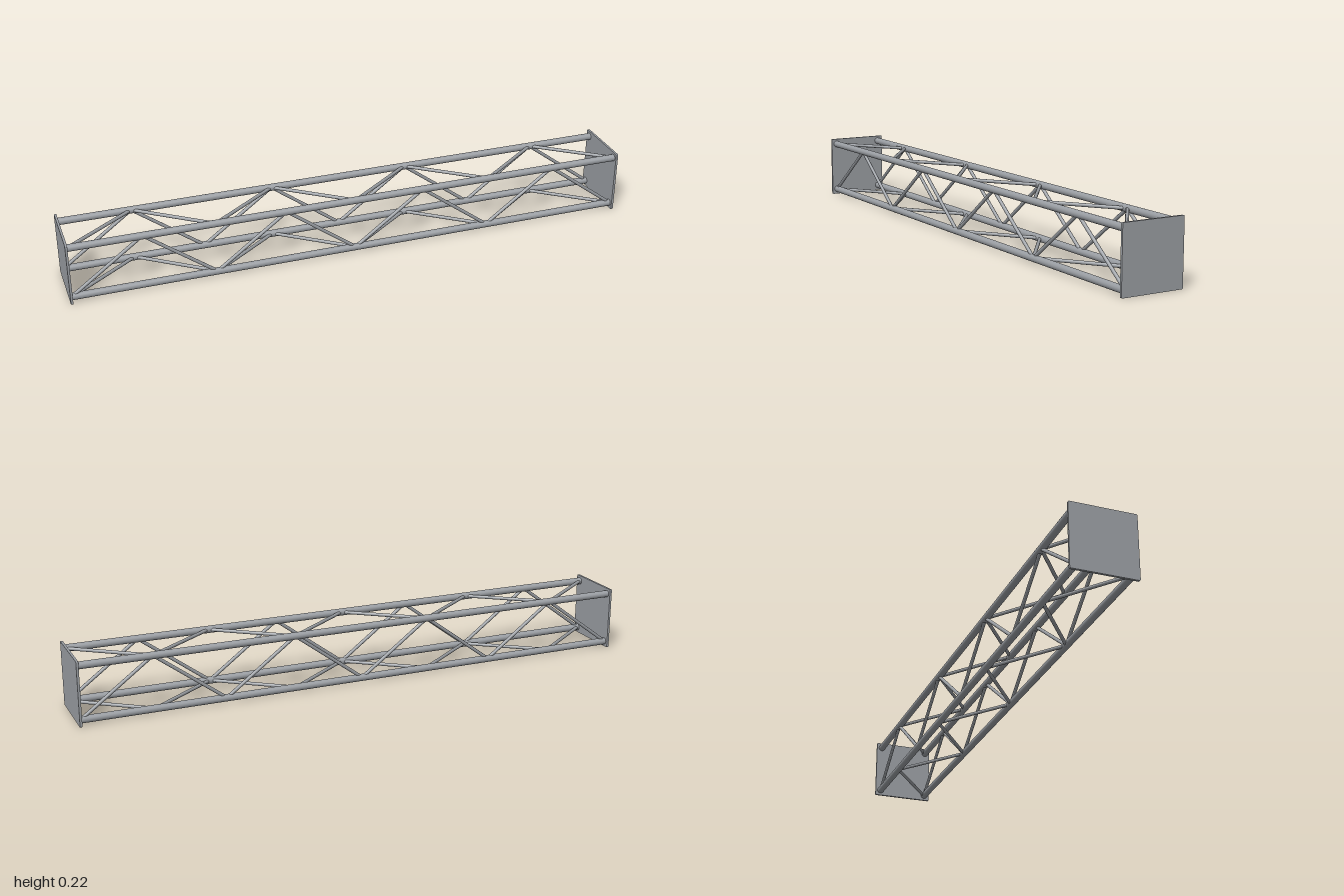
import * as THREE from 'three';

const HALF = 1, SIDE = 0.225, MID = SIDE / 2;
const PLATE = 0.008, CHORD_R = 0.0125, BRACE_R = 0.006, OFF = 0.0925;

// Round bar between two points
function bar(name, a, b, radius, sides, material) {
  const dir = new THREE.Vector3().subVectors(b, a);
  const mesh = new THREE.Mesh(new THREE.CylinderGeometry(radius, radius, dir.length(), sides), material);
  mesh.name = name;
  mesh.position.addVectors(a, b).multiplyScalar(0.5);
  mesh.quaternion.setFromUnitVectors(new THREE.Vector3(0, 1, 0), dir.normalize());
  return mesh;
}

// Square plate with slightly rounded corners
function plateGeometry() {
  const h = MID, r = 0.004, s = new THREE.Shape();
  s.absarc(h - r, h - r, r, 0, Math.PI / 2);
  s.absarc(-h + r, h - r, r, Math.PI / 2, Math.PI);
  s.absarc(-h + r, -h + r, r, Math.PI, Math.PI * 1.5);
  s.absarc(h - r, -h + r, r, Math.PI * 1.5, Math.PI * 2);
  const g = new THREE.ExtrudeGeometry(s, { depth: PLATE, bevelEnabled: false, curveSegments: 4 });
  return g.translate(0, 0, -PLATE / 2).rotateY(Math.PI / 2);
}

export function createModel() {
  const model = new THREE.Group();
  model.name = 'boxTruss';
  const metal = new THREE.MeshStandardMaterial({ color: 0x9a9ea3 });
  metal.name = 'greyMetal';
  const point = (x, y, z) => new THREE.Vector3(x, MID + y, z);

  // End plates
  const plate = plateGeometry();
  for (const side of [-1, 1]) {
    const mesh = new THREE.Mesh(plate, metal);
    mesh.name = side > 0 ? 'leftEndPlate' : 'rightEndPlate';
    mesh.position.set(side * (HALF - PLATE / 2), MID, 0);
    model.add(mesh);
  }

  // Four long corner chords
  const end = HALF - PLATE / 2;
  for (const y of [-OFF, OFF]) {
    for (const z of [-OFF, OFF]) {
      model.add(bar('chord', point(-end, y, z), point(end, y, z), CHORD_R, 20, metal));
    }
  }

  // Zigzag braces on all four long faces
  const braces = new THREE.Group();
  braces.name = 'braces';
  const count = 8, reach = HALF - PLATE;
  for (let i = 0; i < count; i++) {
    const x0 = -reach + (2 * reach * i) / count;
    const x1 = -reach + (2 * reach * (i + 1)) / count;
    const v = i % 2 ? OFF : -OFF;
    for (const f of [-OFF, OFF]) {
      braces.add(bar('sideBrace', point(x0, v, f), point(x1, -v, f), BRACE_R, 12, metal));
      braces.add(bar('flatBrace', point(x0, f, -v), point(x1, f, v), BRACE_R, 12, metal));
    }
  }
  model.add(braces);
  return model;
}
